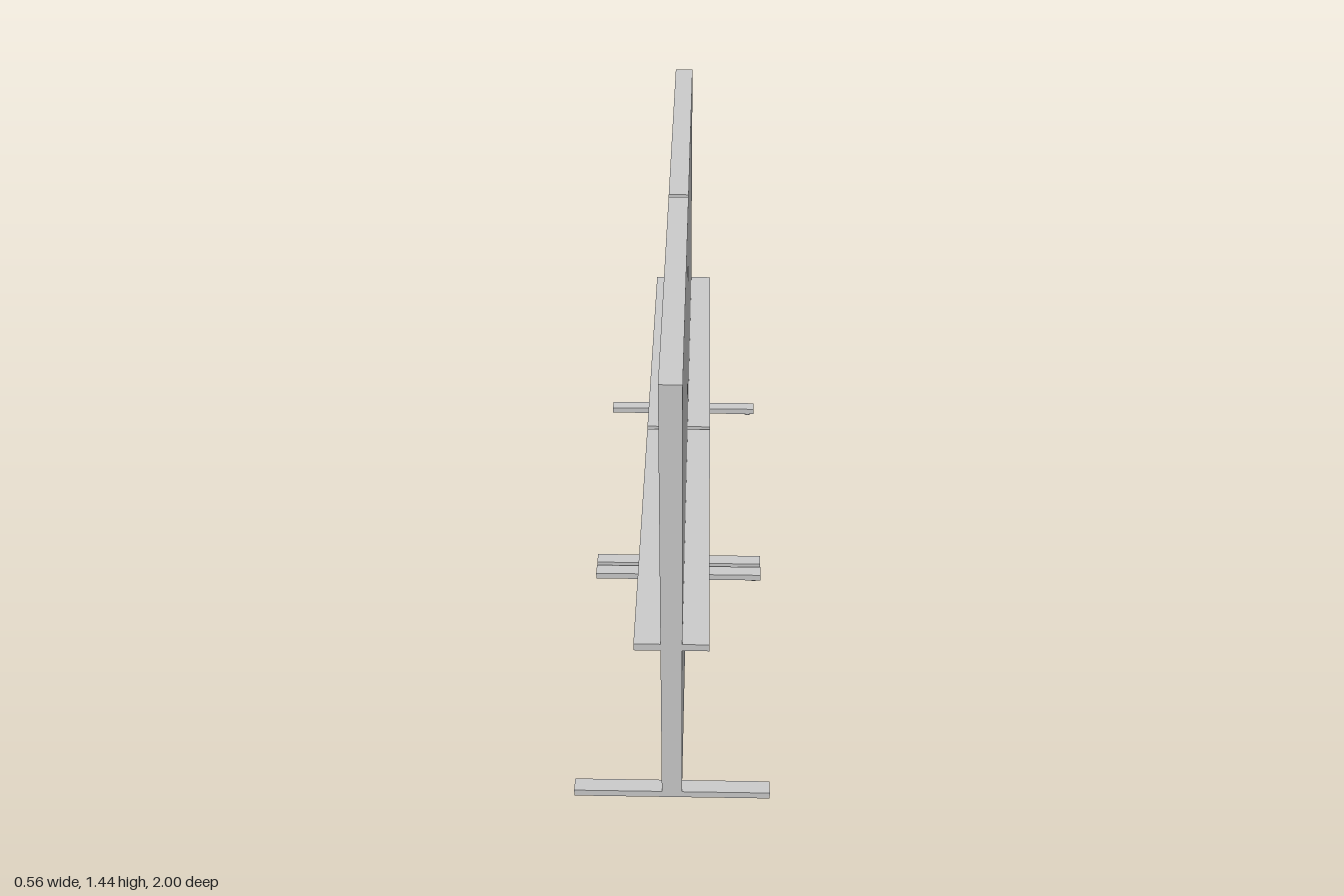
import * as THREE from 'three';

const material = new THREE.MeshStandardMaterial({ color: 0xcccccc });

function addBox(parent, name, w, h, d, x, y, z) {
  const mesh = new THREE.Mesh(new THREE.BoxGeometry(w, h, d), material);
  mesh.name = name;
  mesh.position.set(x, y, z);
  parent.add(mesh);
}

// One free-standing partition, centred on its own z = 0
function createPartition(length) {
  const unit = new THREE.Group();
  const footTop = 0.034, footBottom = 0.011, footDepth = 0.043;
  const top = 1.437, halfThick = 0.029, shelfReach = 0.101;

  // Upright panel
  addBox(unit, 'panel', halfThick * 2, top - footTop, length, 0, (top + footTop) / 2, 0);

  // Narrow ledge on each face
  const ledge = shelfReach - halfThick;
  for (const side of [-1, 1]) {
    addBox(unit, 'ledge', ledge, 0.023, length, side * (halfThick + ledge / 2), 0.6, 0);
  }

  // Cross feet, each with a round tapered glide under one end
  for (const end of [-1, 1]) {
    const z = end * (length - footDepth) / 2;
    addBox(unit, 'foot', 0.564, footTop - footBottom, footDepth, 0, (footTop + footBottom) / 2, z);

    const profile = [[0, 0], [0.013, 0], [0.017, 0.005], [0.017, footBottom]];
    const glide = new THREE.Mesh(
      new THREE.LatheGeometry(profile.map(([r, y]) => new THREE.Vector2(r, y)), 24), material);
    glide.name = 'glide';
    glide.position.set(0.258, 0, z);
    unit.add(glide);
  }
  return unit;
}

export function createModel() {
  const model = new THREE.Group();
  model.name = 'partitionScreen';

  // Two partitions end to end with a thin gap
  const gap = 0.016, length = 1 - gap / 2;
  for (const side of [-1, 1]) {
    const unit = createPartition(length);
    unit.name = side > 0 ? 'frontPartition' : 'backPartition';
    unit.position.z = side * (gap / 2 + length / 2);
    model.add(unit);
  }
  return model;
}
